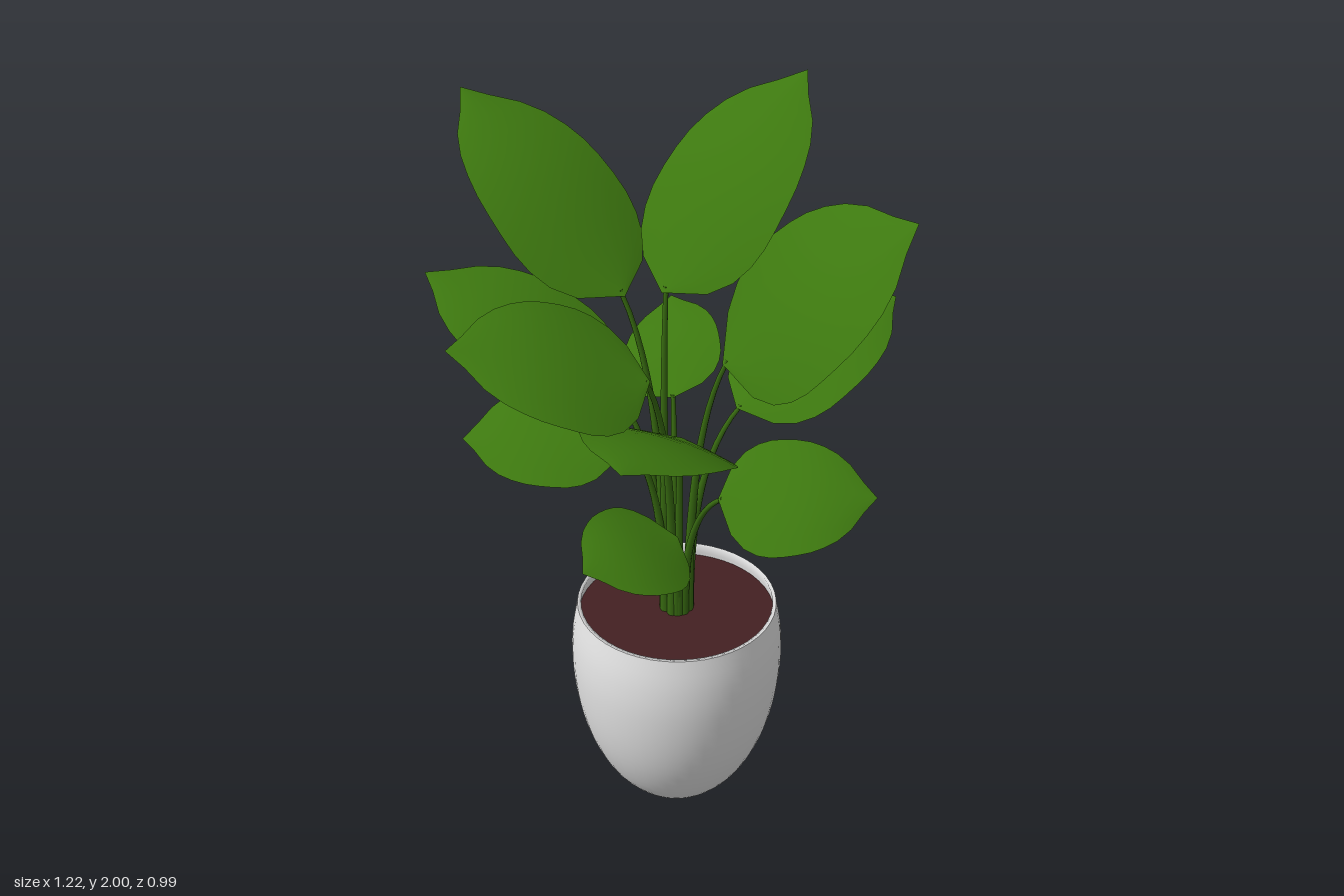
import * as THREE from 'three';

const V = (x, y, z) => new THREE.Vector3(x, y, z);
const UP = V(0, 1, 0);
const CENTRE = { x: 0.04, z: -0.08 };
const STEM_Z = -0.1;

// Half-width of a blade from its rounded base to its pointed tip
const OUTLINE = [0, 0.58, 0.83, 0.95, 1, 1, 0.98, 0.94, 0.86, 0.74, 0.55, 0.25, 0];

// base, tip, half-width, roll in degrees (positive lifts the side right of the outward axis)
const LEAVES = [
  { base: [-0.09, 1.52, -0.12], tip: [-0.5, 1.91, -0.5], width: 0.185, roll: 9 },
  { base: [0.0, 1.54, -0.1], tip: [0.36, 2.0, -0.385], width: 0.19, roll: -9 },
  { base: [0.15, 1.36, -0.06], tip: [0.6, 1.79, 0.03], width: 0.23, roll: -33 },
  { base: [0.19, 1.2, -0.11], tip: [0.61, 1.39, -0.35], width: 0.17, roll: -13 },
  { base: [0.14, 1.03, 0.05], tip: [0.54, 1.05, 0.08], width: 0.168, roll: -28 },
  { base: [-0.1, 1.22, -0.14], tip: [-0.605, 1.465, -0.355], width: 0.17, roll: 18 },
  { base: [-0.03, 1.395, 0.08], tip: [-0.51, 1.545, 0.185], width: 0.205, roll: 18 },
  { base: [-0.09, 1.165, -0.05], tip: [-0.51, 1.12, -0.1], width: 0.155, roll: 28 },
  { base: [0.03, 1.19, -0.18], tip: [0.03, 1.325, -0.48], width: 0.135, roll: 22 },
  { base: [0.05, 1.17, -0.02], tip: [-0.1, 1.395, 0.49], width: 0.19, roll: 8 },
  { base: [0.04, 0.885, 0.01], tip: [-0.2, 0.945, 0.25], width: 0.145, roll: 24 },
];

// Blade arched along its length, with slightly drooping edges
function bladeGeometry(base, tip, width, roll) {
  const axis = tip.clone().sub(base);
  const length = axis.length();
  const dir = axis.clone().normalize();
  const side = dir.clone().cross(UP).normalize();
  side.applyAxisAngle(dir, -THREE.MathUtils.degToRad(roll));
  const normal = side.clone().cross(dir);
  const rows = OUTLINE.length - 1;
  const geo = new THREE.PlaneGeometry(2, 1, 8, rows);
  const pos = geo.attributes.position;
  for (let i = 0; i < pos.count; i++) {
    const s = pos.getX(i);
    const t = pos.getY(i) + 0.5;
    const w = OUTLINE[Math.round(t * rows)] * width;
    const lift = Math.sin(Math.PI * t ** 1.2) * length * 0.075 - s * s * w * 0.12;
    const p = base.clone().addScaledVector(axis, t)
      .addScaledVector(side, s * w).addScaledVector(normal, lift);
    pos.setXYZ(i, p.x, p.y, p.z);
  }
  geo.computeVertexNormals();
  return geo;
}

// Tube whose radius narrows towards the leaf
function stemGeometry(curve, r0, r1) {
  const steps = 16, sides = 8;
  const geo = new THREE.TubeGeometry(curve, steps, 1, sides, false);
  const pos = geo.attributes.position;
  for (let i = 0; i < pos.count; i++) {
    const t = Math.floor(i / (sides + 1)) / steps;
    const c = curve.getPointAt(t);
    const p = V().fromBufferAttribute(pos, i).sub(c)
      .multiplyScalar(r0 + (r1 - r0) * t).add(c);
    pos.setXYZ(i, p.x, p.y, p.z);
  }
  return geo;
}

export function createModel() {
  const model = new THREE.Group();
  model.name = 'pottedPlant';
  const mat = (name, color, side = THREE.FrontSide) => {
    const m = new THREE.MeshStandardMaterial({ color, side });
    m.name = name;
    return m;
  };
  const potWhite = mat('potWhite', 0xe6e6e6, THREE.DoubleSide);
  const soilBrown = mat('soilBrown', 0x442022);
  const leafGreen = mat('leafGreen', 0x3d780f, THREE.DoubleSide);
  const stemGreen = mat('stemGreen', 0x376a10);

  const add = (parent, name, geo, material) => {
    const mesh = new THREE.Mesh(geo, material);
    mesh.name = name;
    parent.add(mesh);
    return mesh;
  };

  // Pot: rounded outer wall with closed base, then a thin rim and inner wall
  const outer = new THREE.SplineCurve([
    [0, 0], [0.06, 0], [0.105, 0.007], [0.142, 0.03], [0.197, 0.1], [0.243, 0.2],
    [0.271, 0.31], [0.284, 0.43], [0.281, 0.53], [0.267, 0.615],
  ].map(([r, y]) => new THREE.Vector2(r, y))).getPoints(30);
  const pot = new THREE.Group();
  pot.name = 'pot';
  pot.position.set(CENTRE.x, 0, CENTRE.z);
  model.add(pot);
  add(pot, 'potWall', new THREE.LatheGeometry(outer, 48), potWhite);
  const inner = [[0.267, 0.615], [0.257, 0.615], [0.262, 0.59], [0.264, 0.56]];
  add(pot, 'potRim', new THREE.LatheGeometry(
    inner.map(([r, y]) => new THREE.Vector2(r, y)), 48), potWhite);

  // Soil
  const soil = add(pot, 'soil', new THREE.CircleGeometry(0.263, 48), soilBrown);
  soil.rotation.x = -Math.PI / 2;
  soil.position.y = 0.58;

  // Leaves, each on a stem that rises from the soil and bends outward
  LEAVES.forEach((leaf, i) => {
    const base = V(...leaf.base);
    const tip = V(...leaf.tip);
    const group = new THREE.Group();
    group.name = `leaf${i + 1}`;
    model.add(group);
    add(group, 'blade', bladeGeometry(base, tip, leaf.width, leaf.roll), leafGreen);

    const out = V(base.x - CENTRE.x, 0, base.z - STEM_Z);
    const reach = out.clone().normalize().multiplyScalar(0.032);
    const root = V(CENTRE.x + reach.x, 0.55, STEM_Z + reach.z);
    const rise = base.y - root.y;
    const curve = new THREE.CubicBezierCurve3(
      root,
      V(root.x, root.y + rise * 0.4, root.z),
      V(root.x + out.x * 0.15, root.y + rise * 0.8, root.z + out.z * 0.15),
      base.clone().addScaledVector(tip.clone().sub(base), 0.03),
    );
    add(group, 'stem', stemGeometry(curve, 0.015, 0.006), stemGreen);
  });

  return model;
}
